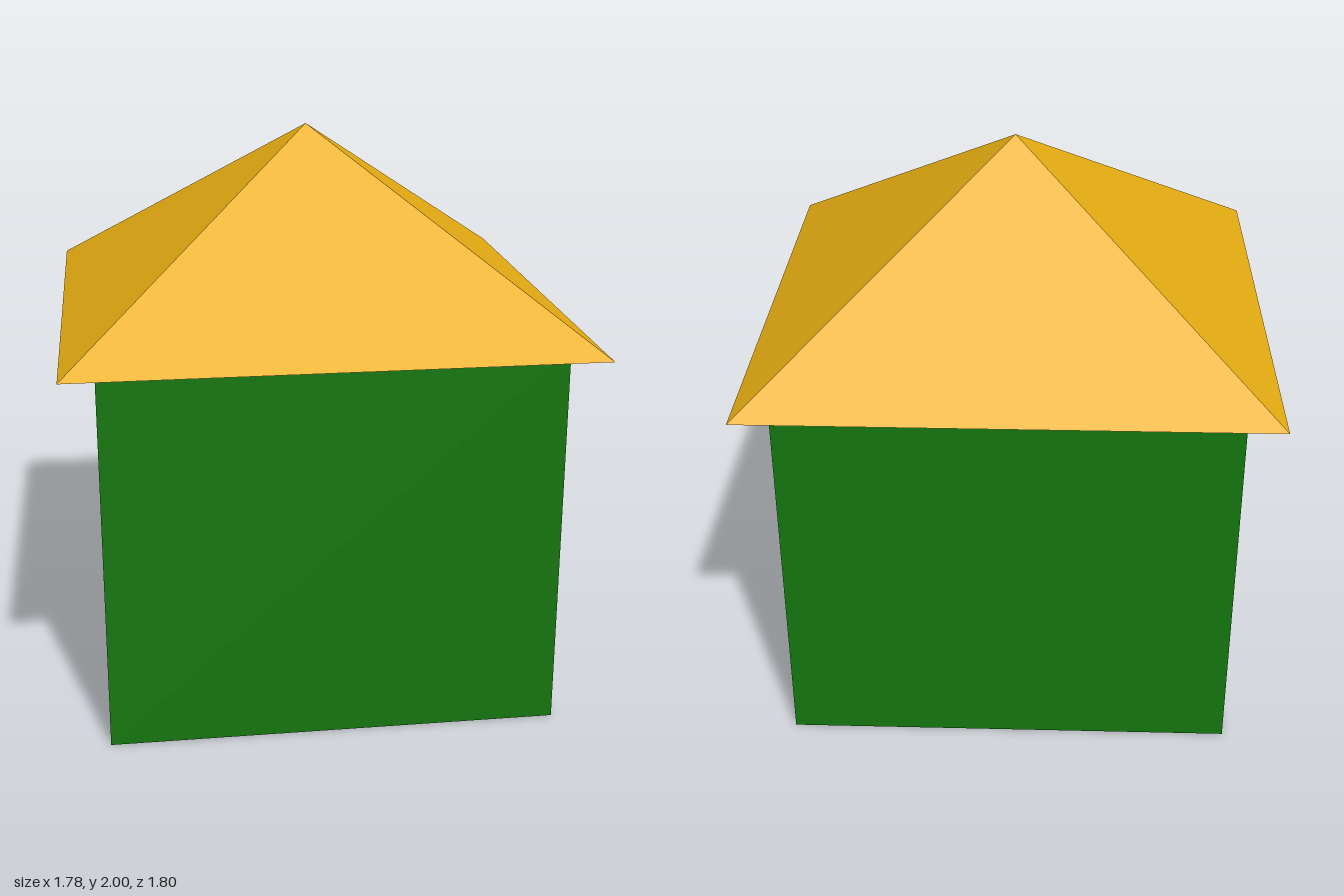
import * as THREE from 'three';

const mat = (color) => new THREE.MeshStandardMaterial({ color, flatShading: true });

function rect(Type, x0, y0, x1, y1) {
  const r = new Type();
  r.moveTo(x0, y0);
  r.lineTo(x1, y0);
  r.lineTo(x1, y1);
  r.lineTo(x0, y1);
  r.closePath();
  return r;
}

// Slab facing +x, with rectangular openings; outlines are [-z, y] corners
function slab(outline, openings, depth, x) {
  const shape = rect(THREE.Shape, ...outline);
  for (const o of openings) shape.holes.push(rect(THREE.Path, ...o));
  const geo = new THREE.ExtrudeGeometry(shape, { depth, bevelEnabled: false });
  return geo.rotateY(Math.PI / 2).translate(x, 0, 0);
}

export function createModel() {
  const house = new THREE.Group();
  house.name = 'house';
  const add = (name, geo, material, parent = house) => {
    const mesh = new THREE.Mesh(geo, material);
    mesh.name = name;
    parent.add(mesh);
    return mesh;
  };

  const green = mat(0x15760f);
  const gold = mat(0xe8ae12);
  const orange = mat(0xe4760c);
  const grey = mat(0xcccccc);

  const eaves = 1.35;
  const opening = [-0.395, 0.28, 0.39, 1.1];
  const panes = [[-0.37, 0.31, -0.025, 1.07], [0.01, 0.305, 0.37, 1.075]];

  // Walls: solid body with a thin outer layer cut out for the window
  add('walls', new THREE.BoxGeometry(1.535, eaves, 1.555).translate(-0.0075, eaves / 2, 0.0025), green);
  add('windowWall', slab([-0.78, 0, 0.775, eaves], [opening], 0.02, 0.76), green);

  // Window set into the opening: frame with a mullion and two panes
  const windowGroup = new THREE.Group();
  windowGroup.name = 'window';
  house.add(windowGroup);
  add('windowFrame', slab(opening, panes, 0.014, 0.76), orange, windowGroup);
  for (const p of panes) add('windowPane', slab(p, [], 0.008, 0.76), grey, windowGroup);

  // Pyramid roof overhanging the walls on all sides
  const roof = new THREE.ConeGeometry(Math.SQRT2, 2 - eaves, 4, 1, false, Math.PI / 4);
  add('roof', roof.scale(0.89, 1, 0.9).translate(0, (2 + eaves) / 2, 0), gold);

  return house;
}
